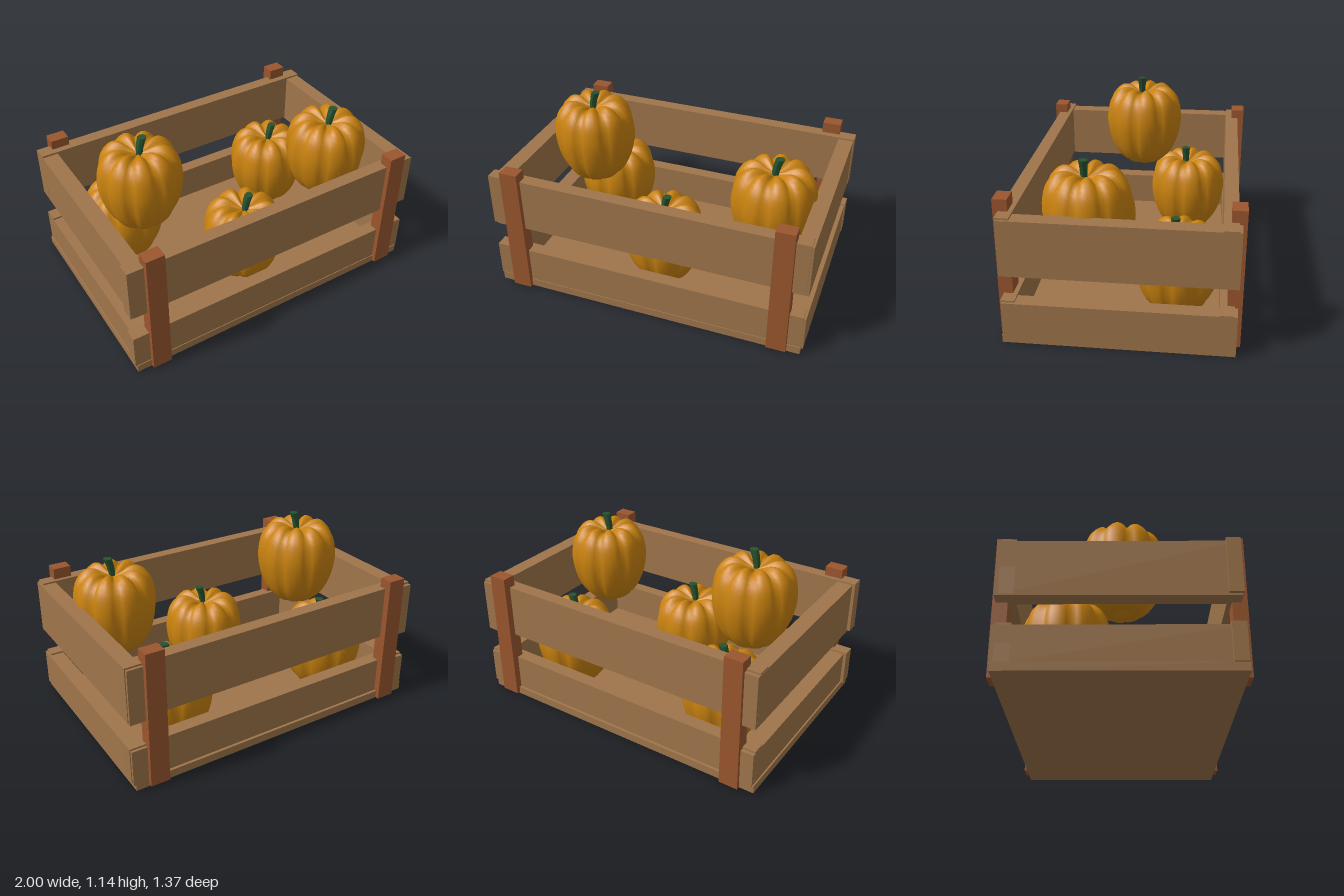
import * as THREE from 'three';

const wood = new THREE.MeshStandardMaterial({ color: 0x9f754b, flatShading: true });
const postWood = new THREE.MeshStandardMaterial({ color: 0x9a562e, flatShading: true });
const skin = new THREE.MeshStandardMaterial({ color: 0xc9820f });
const stemGreen = new THREE.MeshStandardMaterial({ color: 0x27532f, flatShading: true });

// Box given by its min and max corners, with an optional slight tilt about z
function board(name, min, max, material, tilt = 0) {
  const a = new THREE.Vector3(...min), b = new THREE.Vector3(...max);
  const size = b.clone().sub(a);
  const mesh = new THREE.Mesh(new THREE.BoxGeometry(size.x, size.y, size.z), material);
  mesh.position.copy(a.add(b).multiplyScalar(0.5));
  mesh.rotation.z = tilt;
  mesh.name = name;
  return mesh;
}

// Lathe body pinched into lobes, deepest around the top and bottom
function pumpkinGeometry() {
  const lobes = 9, perLobe = 6;
  const curve = new THREE.SplineCurve([
    [0, 0.05], [0.06, 0.015], [0.12, 0.02], [0.185, 0.08], [0.232, 0.18], [0.256, 0.3],
    [0.25, 0.4], [0.225, 0.48], [0.17, 0.538], [0.11, 0.545], [0.05, 0.515], [0, 0.495],
  ].map(([x, y]) => new THREE.Vector2(x, y)));
  const points = curve.getPoints(28);
  points.forEach(p => { p.x = Math.max(p.x, 0); });
  points[0].x = points[points.length - 1].x = 0;
  const geo = new THREE.LatheGeometry(points, lobes * perLobe);
  const pos = geo.attributes.position;
  for (let i = 0; i < pos.count; i++) {
    const x = pos.getX(i), y = pos.getY(i), z = pos.getZ(i);
    const groove = 1 - Math.abs(Math.sin(Math.atan2(x, z) * lobes / 2));
    const r = Math.hypot(x, z);
    const k = 1 - 0.1 * groove * groove;
    const end = Math.max(0, (y - 0.27) / 0.27) ** 3;
    const dip = 0.035 * groove * end * Math.min(1, r / 0.08);
    pos.setXYZ(i, x * k, y - dip, z * k);
  }
  geo.computeVertexNormals();
  // Share normals across the lathe seam
  const n = geo.attributes.normal, rows = points.length, last = lobes * perLobe * rows;
  for (let j = 0; j < rows; j++) {
    const v = new THREE.Vector3().fromBufferAttribute(n, j)
      .add(new THREE.Vector3().fromBufferAttribute(n, last + j)).normalize();
    n.setXYZ(j, v.x, v.y, v.z);
    n.setXYZ(last + j, v.x, v.y, v.z);
  }
  return geo;
}

// Stem flares toward its cut top and leans to one side
function stemGeometry() {
  const geo = new THREE.CylinderGeometry(0.027, 0.019, 0.13, 8, 3);
  const pos = geo.attributes.position;
  for (let i = 0; i < pos.count; i++) {
    const t = pos.getY(i) / 0.13 + 0.5;
    pos.setX(i, pos.getX(i) + 0.025 * t * t);
  }
  geo.computeVertexNormals();
  return geo;
}

export function createModel() {
  const model = new THREE.Group();
  model.name = 'pumpkinCrate';
  const crate = new THREE.Group();
  crate.name = 'crate';
  model.add(crate);

  crate.add(board('floor', [-0.99, 0.006, -0.66], [0.98, 0.056, 0.66], wood, -0.006));

  // Two rows of slats on each of the four sides
  for (const [row, y0, y1] of [['lower', 0.055, 0.283], ['upper', 0.455, 0.793]]) {
    crate.add(
      board(row + 'FrontSlat', [-1, y0, 0.575], [0.98, y1, 0.655], wood, -0.006),
      board(row + 'BackSlat', [-0.98, y0, -0.643], [1, y1, -0.56], wood, -0.006),
      board(row + 'LeftSlat', [0.9, y0 - 0.015, -0.66], [0.995, y1 - 0.016, 0.65], wood),
      board(row + 'RightSlat', [-0.98, y0 - 0.005, -0.665], [-0.88, y1 - 0.006, 0.65], wood),
    );
  }

  // Corner posts outside the long sides, slightly narrowed at the top
  for (const x of [-0.84, 0.84]) {
    for (const z of [-0.643, 0.643]) {
      const post = board('cornerPost', [x - 0.06, 0.013, z - 0.042], [x + 0.06, 0.857, z + 0.042], postWood);
      const pos = post.geometry.attributes.position;
      for (let i = 0; i < pos.count; i++) {
        if (pos.getY(i) > 0) pos.setX(i, pos.getX(i) * 0.95);
      }
      crate.add(post);
    }
  }

  // Pumpkins: centre x, base y, centre z
  const bodyGeo = pumpkinGeometry(), stemGeo = stemGeometry();
  for (const [x, y, z] of [
    [-0.585, 0.53, 0.01], [0.66, 0.41, 0.205],
    [-0.58, 0.035, -0.305], [0.56, 0.035, -0.305], [-0.01, 0.035, 0.265],
  ]) {
    const pumpkin = new THREE.Group();
    pumpkin.name = 'pumpkin';
    const body = new THREE.Mesh(bodyGeo, skin);
    body.name = 'pumpkinBody';
    const stem = new THREE.Mesh(stemGeo, stemGreen);
    stem.name = 'pumpkinStem';
    stem.position.set(0, 0.545, 0.015);
    pumpkin.add(body, stem);
    pumpkin.position.set(x, y, z);
    model.add(pumpkin);
  }
  return model;
}
